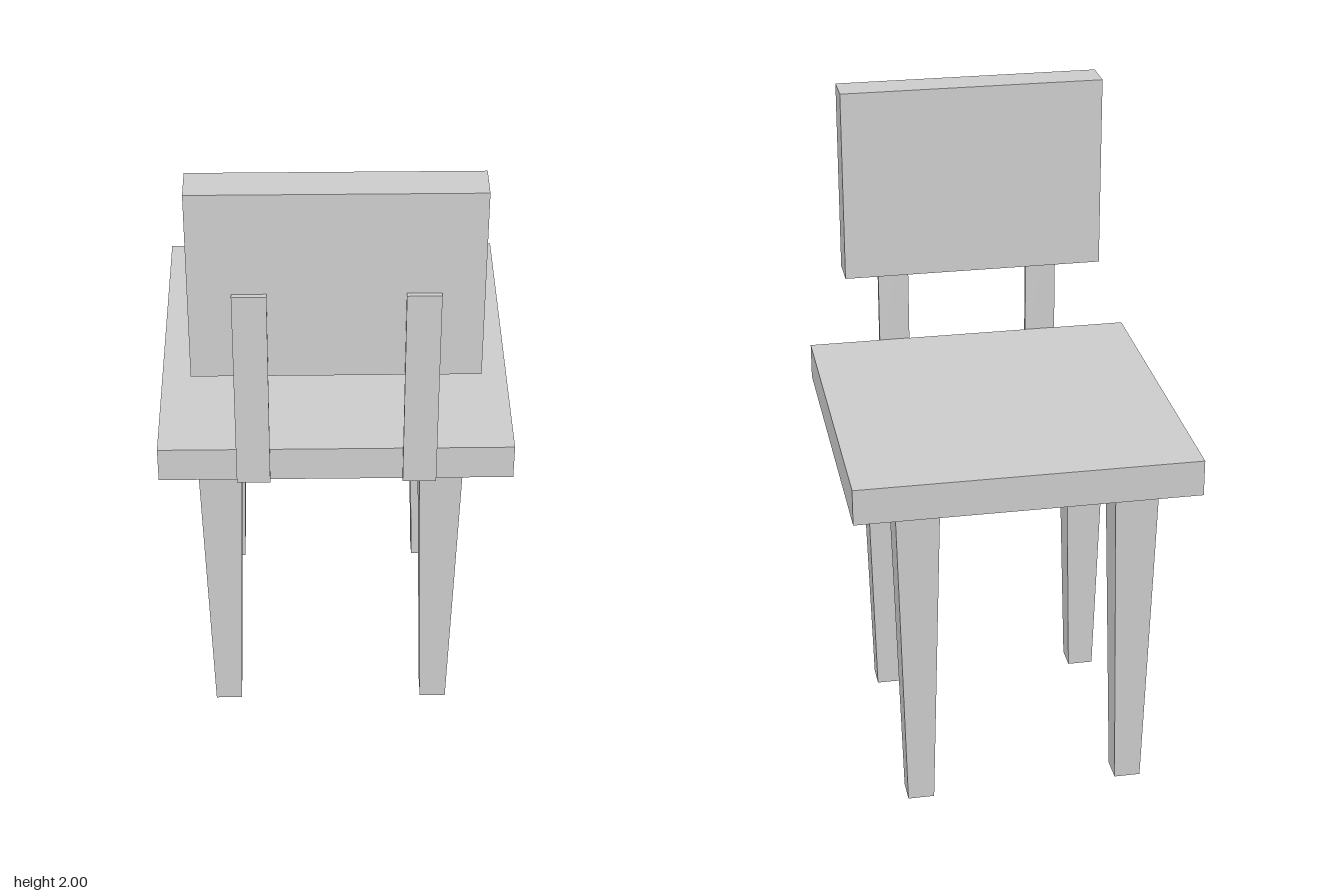
import * as THREE from 'three';

const material = new THREE.MeshStandardMaterial({ color: 0xcccccc, flatShading: true });

// Box given by its lower and upper limits on each axis
function box(name, [x0, x1], [y0, y1], [z0, z1]) {
  const mesh = new THREE.Mesh(new THREE.BoxGeometry(x1 - x0, y1 - y0, z1 - z0), material);
  mesh.position.set((x0 + x1) / 2, (y0 + y1) / 2, (z0 + z1) / 2);
  mesh.name = name;
  return mesh;
}

// Square leg, narrowing towards the floor
function taperedLeg(name, x, z, height, topWidth, footWidth) {
  const geometry = new THREE.BoxGeometry(topWidth, height, topWidth);
  const p = geometry.attributes.position;
  const k = footWidth / topWidth;
  for (let i = 0; i < p.count; i++) {
    if (p.getY(i) < 0) p.setXYZ(i, p.getX(i) * k, p.getY(i), p.getZ(i) * k);
  }
  geometry.computeVertexNormals();
  const mesh = new THREE.Mesh(geometry, material);
  mesh.position.set(x, height / 2, z);
  mesh.name = name;
  return mesh;
}

export function createModel() {
  const chair = new THREE.Group();
  chair.name = 'chair';

  // Seat and backrest
  chair.add(box('seat', [-0.51, 0.51], [1.032, 1.142], [-0.527, 0.512]));
  chair.add(box('backrest', [-0.404, 0.404], [1.405, 2], [0.402, 0.512]));

  // Thin slats joining the seat edge to the backrest
  for (const [side, x] of [['right', -0.237], ['left', 0.239]]) {
    chair.add(box(side + 'Slat', [x - 0.048, x + 0.048], [1.032, 1.682], [0.512, 0.527]));
  }

  // Four legs
  for (const [side, x] of [['Right', -0.339], ['Left', 0.311]]) {
    for (const [end, z] of [['front', 0.322], ['back', -0.36]]) {
      chair.add(taperedLeg(end + side + 'Leg', x, z, 1.032, 0.132, 0.08));
    }
  }
  return chair;
}
